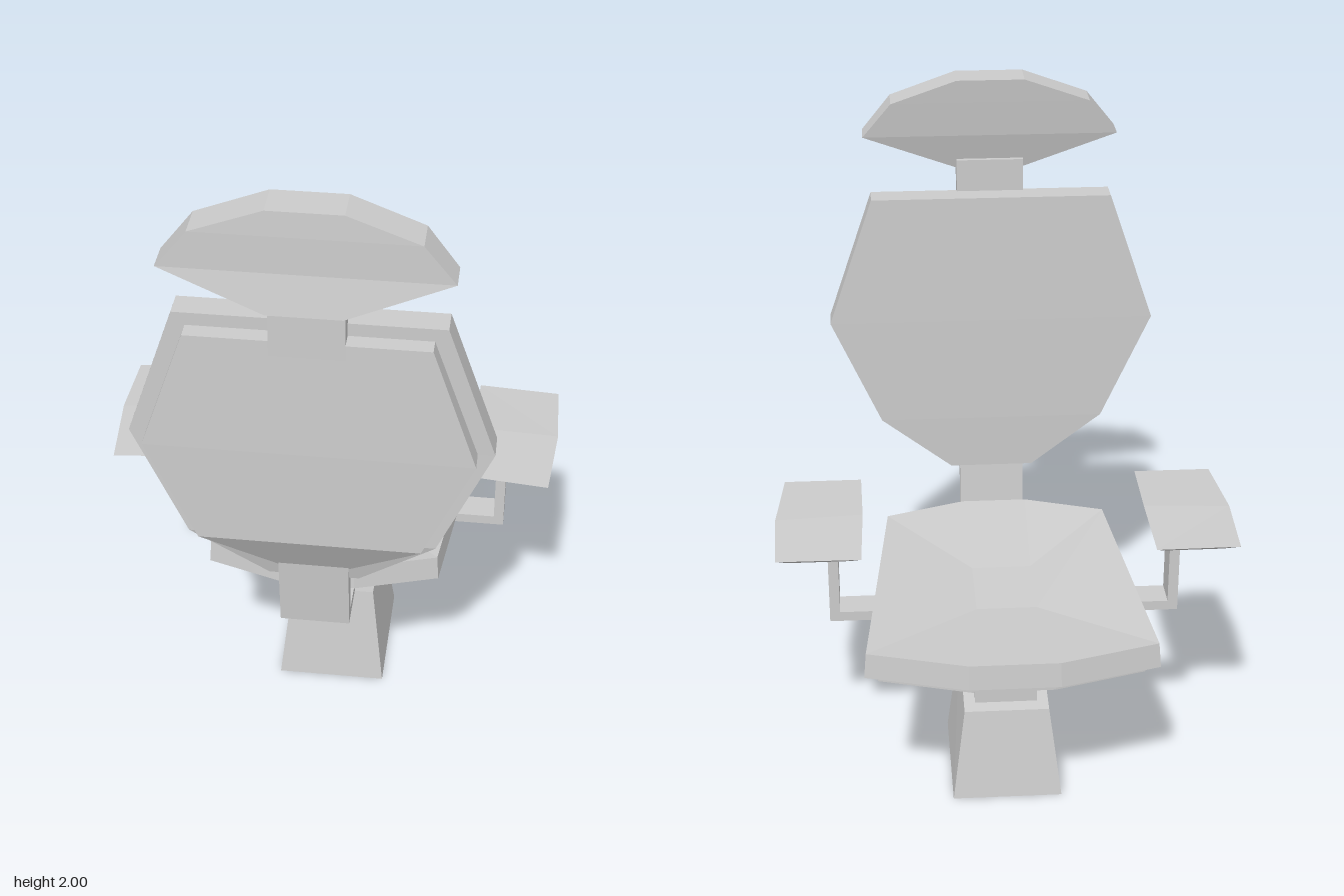
import * as THREE from 'three';

const material = new THREE.MeshStandardMaterial({ color: 0xcccccc, flatShading: true });

// Skin a stack of equal-length rings; both ends are closed with strips joining point i to point n-1-i.
function loft(name, rings) {
  const n = rings[0].length, tris = [];
  const quad = (a, b, c, d) => tris.push([a, b, c], [a, c, d]);
  for (let r = 0; r < rings.length - 1; r++) {
    const A = rings[r], B = rings[r + 1];
    for (let i = 0; i < n; i++) {
      const j = (i + 1) % n;
      quad(A[i], A[j], B[j], B[i]);
    }
  }
  const first = rings[0], last = rings[rings.length - 1];
  for (let i = 0; i < n / 2 - 1; i++) {
    quad(first[n - 1 - i], first[n - 2 - i], first[i + 1], first[i]);
    quad(last[i], last[i + 1], last[n - 2 - i], last[n - 1 - i]);
  }
  // Turn the skin outward when the rings run the other way.
  const v = (p) => new THREE.Vector3(...p);
  let volume = 0;
  for (const [a, b, c] of tris) volume += v(a).dot(v(b).cross(v(c)));
  const points = tris.flatMap(([a, b, c]) => (volume > 0 ? [a, b, c] : [a, c, b]));
  const geometry = new THREE.BufferGeometry();
  geometry.setAttribute('position', new THREE.Float32BufferAttribute(points.flat(), 3));
  geometry.computeVertexNormals();
  const mesh = new THREE.Mesh(geometry, material);
  mesh.name = name;
  return mesh;
}

// Full symmetric ring from its +x half.
const mirrored = (half) => [...half, ...half.map(([x, y, z]) => [-x, y, z]).reverse()];

// Level or sloped rectangle around (cx, cz); height is base + slope * z.
const rect = (cx, cz, hx, hz, base, slope = 0) =>
  [[hx, -hz], [hx, hz], [-hx, hz], [-hx, -hz]].map(([x, z]) => [cx + x, base + slope * (cz + z), cz + z]);

const box = (name, w, h, d, x, y, z) => {
  const mesh = new THREE.Mesh(new THREE.BoxGeometry(w, h, d), material);
  mesh.name = name;
  mesh.position.set(x, y, z);
  return mesh;
};

export function createModel() {
  const chair = new THREE.Group();
  chair.name = 'chair';
  const MID = -0.127; // depth of the pedestal axis

  // Pedestal with sloped top, and post
  chair.add(
    loft('pedestal', [rect(0, MID, 0.164, 0.2, 0), rect(0, MID, 0.127, 0.154, 0.322, 0.14)]),
    box('post', 0.186, 0.29, 0.23, 0, 0.4, MID),
  );

  // Seat cushion with a shallow dish, and the pan beneath it
  const seatHalf = [[0.13, -0.59], [0.42, -0.511], [0.342, 0.246], [0.1, 0.324]];
  const seatRing = (scale, base, slope) =>
    mirrored(seatHalf.map(([x, z]) => [x * scale, base + slope * z, MID + (z - MID) * scale]));
  const centreRing = (hx, hz, base, slope) =>
    mirrored([-hz, -hz, hz, hz].map((z) => [hx, base + slope * (MID + z), MID - 0.01 + z]));
  chair.add(
    loft('seat', [
      seatRing(1, 0.588, 0.035), seatRing(0.985, 0.663, 0.035), centreRing(0.088, 0.112, 0.63, 0.035),
    ]),
    loft('seatPan', [
      seatRing(0.91, 0.6, 0.035), seatRing(0.91, 0.555, 0.04), centreRing(0.093, 0.115, 0.53, 0.08),
    ]),
  );

  // Backrest: front cushion and rear shell, both bending forward at the bottom
  const layer = (half, depths) => mirrored(half.map(([x, y], i) => [x, y, depths[i]]));
  const cushion = [[0.36, 1.648], [0.495, 1.255], [0.345, 0.92], [0.128, 0.75]];
  const shell = [[0.325, 1.61], [0.448, 1.255], [0.308, 0.945], [0.1, 0.79]];
  chair.add(
    loft('backCushion', [
      layer(cushion, [0.42, 0.412, 0.415, 0.42]), layer(cushion, [0.497, 0.492, 0.495, 0.45]),
    ]),
    loft('backShell', [
      layer(shell, [0.46, 0.46, 0.46, 0.43]), layer(shell, [0.545, 0.553, 0.55, 0.46]),
    ]),
  );

  // Bent strap joining backrest and seat
  const strap = [[0.465, 0.8], [0.445, 0.57], [0.2, 0.57], [0.2, 0.6], [0.405, 0.6], [0.425, 0.8]];
  chair.add(loft('backStrap', [-0.1, 0.1].map((x) => strap.map(([z, y]) => [x, y, z]))));

  // Headrest and neck
  const head = [[0.1, 2.0], [0.295, 1.93], [0.38, 1.825], [0.1, 1.715]];
  chair.add(
    box('neck', 0.2, 0.2, 0.06, 0, 1.645, 0.516),
    loft('headrest', [
      layer(head, [0.45, 0.46, 0.476, 0.51]), layer(head, [0.555, 0.56, 0.562, 0.586]),
    ]),
  );

  // Armrests: bracket, upright, flared support and tapered pad
  for (const side of [1, -1]) {
    const arm = new THREE.Group();
    arm.name = side > 0 ? 'leftArmrest' : 'rightArmrest';
    const padTop = [[0.418, 0.87, -0.368], [0.412, 0.882, MID], [0.415, 0.875, 0.105],
      [0.645, 0.867, 0.12], [0.666, 0.872, MID], [0.66, 0.865, -0.357]];
    const padBottom = [[0.45, -0.29], [0.45, MID], [0.45, 0.035], [0.62, 0.035], [0.625, MID], [0.62, -0.29]];
    const flip = (ring) => ring.map(([x, y, z]) => [side * x, y, z]);
    arm.add(
      loft('armPad', [flip(padBottom.map(([x, z]) => [x, 0.822, z])), flip(padTop)]),
      loft('armSupport', [
        rect(side * 0.505, MID, 0.028, 0.046, 0.785), rect(side * 0.525, MID, 0.075, 0.085, 0.824),
      ]),
      box('armUpright', 0.03, 0.24, 0.09, side * 0.503, 0.67, MID),
      box('armBracket', 0.21, 0.03, 0.09, side * 0.413, 0.565, MID),
    );
    chair.add(arm);
  }

  // The whole chair is turned slightly on its base
  chair.rotation.y = -0.144;
  chair.position.set(-0.034, 0, -0.005);
  const model = new THREE.Group();
  model.name = 'swivelChair';
  model.add(chair);
  return model;
}
